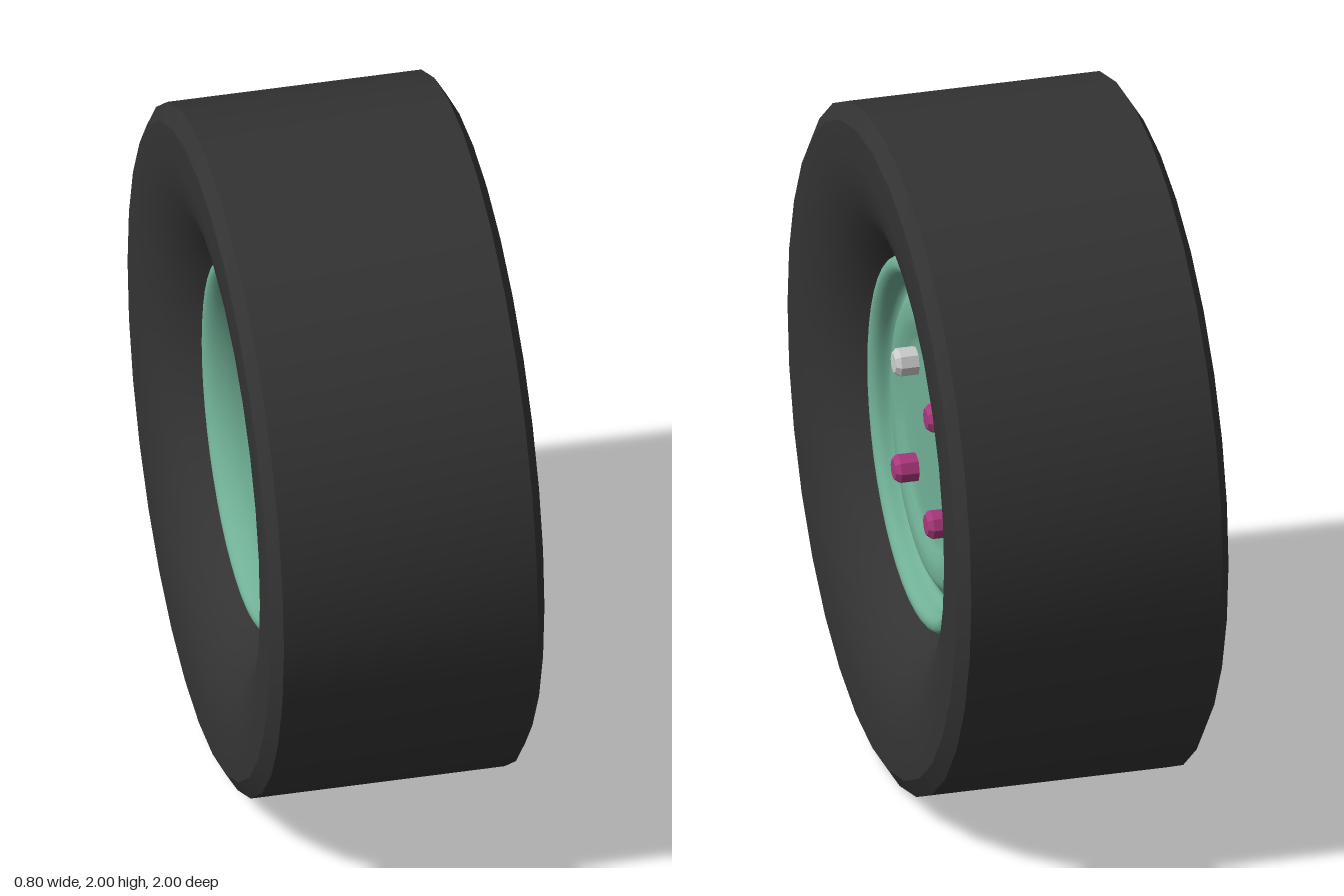
import * as THREE from 'three';
import { toCreasedNormals } from 'three/addons/utils/BufferGeometryUtils.js';

const material = (color) => new THREE.MeshStandardMaterial({ color, side: THREE.DoubleSide });

// Spins [radius, x] points about the x axis; curved profiles are smoothed by a spline.
function spin(points, segments, smooth) {
  let profile = points.map(([r, x]) => new THREE.Vector2(r, x));
  if (smooth) profile = new THREE.SplineCurve(profile).getPoints(points.length * 4);
  profile.forEach((p) => { p.x = Math.max(p.x, 0); });
  return new THREE.LatheGeometry(profile, segments).rotateZ(-Math.PI / 2);
}

function part(name, geometry, mat) {
  const mesh = new THREE.Mesh(geometry, mat);
  mesh.name = name;
  return mesh;
}

export function createModel() {
  const wheel = new THREE.Group();
  wheel.name = 'wheel';
  const rubber = material(0x333333);
  const paint = material(0x70b096);
  const magenta = material(0xa8377c);
  const grey = material(0xcccccc);

  // Tyre: chamfered tread, sidewalls dished in towards the rim
  const side = [[0.535, 0.24], [0.57, 0.28], [0.62, 0.325], [0.69, 0.365], [0.77, 0.39], [0.85, 0.4], [0.95, 0.4], [1, 0.37]];
  const mirrored = side.map(([r, x]) => [r, -x]);
  const tyre = spin([...mirrored, ...side.slice().reverse()], 32, false);
  wheel.add(part('tyre', toCreasedNormals(tyre, 0.5), rubber));

  // Front lip with its rounded bead, groove and pressed centre disc
  wheel.add(part('hubFace', spin([
    [0.53, 0.22], [0.545, 0.25], [0.535, 0.272], [0.51, 0.277], [0.488, 0.26], [0.475, 0.225],
    [0.455, 0.212], [0.435, 0.222], [0.405, 0.24], [0.36, 0.243], [0.325, 0.235],
    [0.29, 0.225], [0.2, 0.223], [0, 0.223],
  ], 48, true), paint));

  // Hollow barrel seen from the back, from the disc out to the rear lip
  wheel.add(part('rimBarrel', spin([
    [0, 0.2], [0.29, 0.2], [0.35, 0.215], [0.4, 0.205], [0.425, 0.17], [0.43, 0.12],
    [0.43, 0.0], [0.435, -0.06], [0.465, -0.1], [0.475, -0.15], [0.475, -0.21],
    [0.488, -0.255], [0.51, -0.277], [0.535, -0.272], [0.545, -0.25], [0.53, -0.22],
  ], 48, true), paint));

  // Four wheel nuts with chamfered heads, one left unpainted
  const nut = toCreasedNormals(spin([[0.043, 0], [0.043, 0.06], [0.03, 0.075], [0, 0.075]], 8, false), 0.3);
  for (const y of [-1, 1]) {
    for (const z of [-1, 1]) {
      const bare = y > 0 && z > 0;
      const mesh = part(bare ? 'bareWheelNut' : 'wheelNut', nut, bare ? grey : magenta);
      mesh.position.set(0.215, y * 0.17 + 0.005, z * 0.182);
      wheel.add(mesh);
    }
  }

  wheel.position.y = 1;
  const model = new THREE.Group();
  model.add(wheel);
  return model;
}
